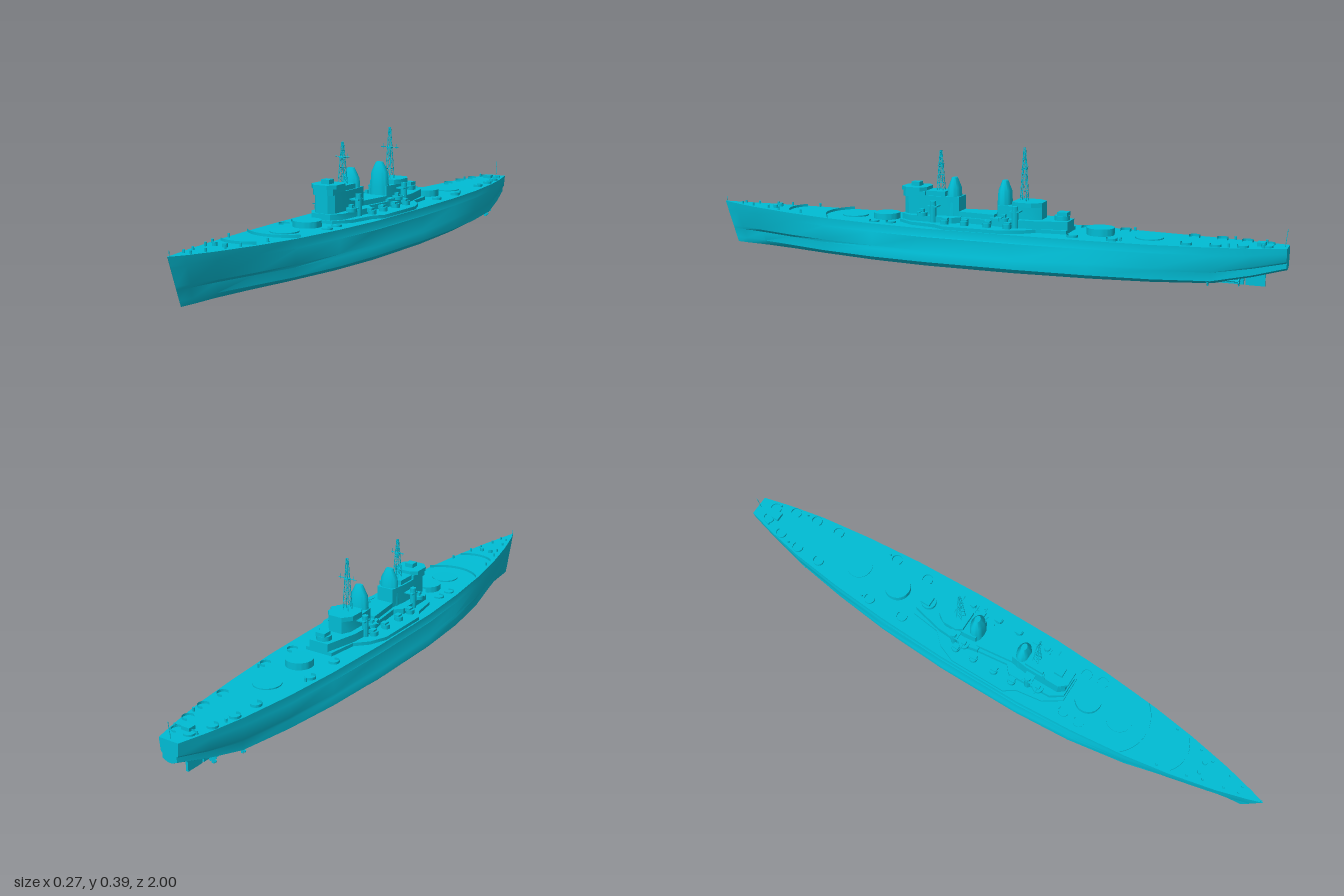
import * as THREE from 'three';
import { toCreasedNormals, mergeGeometries } from 'three/addons/utils/BufferGeometryUtils.js';

const mat = new THREE.MeshStandardMaterial({ color: 0x00bcd4, side: THREE.DoubleSide });

export function createModel() {
  const ship = new THREE.Group();
  ship.name = 'warship';

  const add = (name, geo, x = 0, y = 0, z = 0) => {
    const m = new THREE.Mesh(toCreasedNormals(geo, 0.6), mat);
    m.name = name;
    m.position.set(x, y, z);
    ship.add(m);
    return m;
  };
  const pair = (fn) => [1, -1].forEach(fn);
  const box = (name, w, h, d, x, y, z) => add(name, new THREE.BoxGeometry(w, h, d), x, y + h / 2, z);
  const drum = (name, r, h, x, y, z, n = 24, top = r) =>
    add(name, new THREE.CylinderGeometry(top, r, h, n), x, y + h / 2, z);
  // Vertical prism from the left half of a plan outline, mirrored to the right
  const house = (name, half, y0, y1) => {
    const pts = [...half, ...half.map(([x, z]) => [-x, z]).reverse()];
    const shape = new THREE.Shape(pts.map(([x, z]) => new THREE.Vector2(x, -z)));
    const geo = new THREE.ExtrudeGeometry(shape, { depth: y1 - y0, bevelEnabled: false });
    return add(name, geo.rotateX(-Math.PI / 2), 0, y0, 0);
  };
  // Open curved screen around a centre, facing the angle given
  const screen = (name, r, h, x, y, z, facing, sweep) =>
    add(name, new THREE.CylinderGeometry(r, r, h, 20, 1, true, facing - sweep / 2, sweep), x, y + h / 2, z);
  const rod = (a, b, r) => {
    const p = new THREE.Vector3(...a), q = new THREE.Vector3(...b), d = q.clone().sub(p);
    const turn = new THREE.Quaternion().setFromUnitVectors(new THREE.Vector3(0, 1, 0), d.clone().normalize());
    const mid = p.add(q).multiplyScalar(0.5);
    return new THREE.CylinderGeometry(r, r, d.length(), 5).applyQuaternion(turn).translate(mid.x, mid.y, mid.z);
  };

  // Hull stations: deck z, keel z, deck half width, deck y, bulge half width, flat bottom half width, keel y
  const stations = [
    [1, 0.95, 0.001, 0.149, 0.001, 0.0005, 0.003],
    [0.95, 0.905, 0.017, 0.146, 0.008, 0.004, 0.002],
    [0.85, 0.82, 0.044, 0.142, 0.024, 0.012, 0.002],
    [0.7, 0.69, 0.075, 0.137, 0.055, 0.035, 0.002],
    [0.55, 0.55, 0.098, 0.133, 0.09, 0.065, 0.002],
    [0.35, 0.35, 0.118, 0.13, 0.121, 0.1, 0.002],
    [0.15, 0.15, 0.129, 0.128, 0.134, 0.118, 0.002],
    [-0.15, -0.15, 0.13, 0.128, 0.135, 0.118, 0.002],
    [-0.4, -0.4, 0.121, 0.127, 0.123, 0.1, 0.002],
    [-0.6, -0.6, 0.105, 0.126, 0.101, 0.07, 0.002],
    [-0.78, -0.78, 0.083, 0.127, 0.074, 0.035, 0.006],
    [-0.9, -0.9, 0.06, 0.128, 0.05, 0.015, 0.032],
    [-1, -1, 0.035, 0.13, 0.026, 0.008, 0.06],
  ];
  const pos = [], idx = [];
  let ring = 0;
  for (const [zd, zk, dw, dy, bw, flat, ky] of stations) {
    const mix = (t) => bw + (dw - bw) * t;
    const half = [[flat, 0], [bw, 0.12], [bw, 0.34], [mix(0.6) - bw * 0.015, 0.41], [mix(0.85) + bw * 0.01, 0.78], [mix(0.9), 0.8], [dw, 1]];
    const loop = [[0, 0], ...half, [0, 1], ...half.map(([x, t]) => [-x, t]).reverse()];
    ring = loop.length;
    for (const [x, t] of loop) pos.push(x, ky + (dy - ky) * t, zk + (zd - zk) * t);
  }
  for (let i = 0; i < stations.length - 1; i++)
    for (let j = 0; j < ring; j++) {
      const a = i * ring + j, b = i * ring + (j + 1) % ring, c = b + ring, d = a + ring;
      idx.push(a, d, c, a, c, b);
    }
  const last = (stations.length - 1) * ring;
  for (let j = 1; j < ring - 1; j++) idx.push(last, last + j + 1, last + j);
  const hull = new THREE.BufferGeometry();
  hull.setAttribute('position', new THREE.Float32BufferAttribute(pos, 3));
  hull.setIndex(idx);
  add('hull', hull);

  // Rudder, shafts and propellers
  box('rudder', 0.008, 0.045, 0.06, 0, 0.002, -0.905);
  box('skeg', 0.01, 0.045, 0.1, 0, 0.003, -0.82);
  pair((s) => {
    for (const [x, z] of [[0.03, -0.86], [0.062, -0.77]]) {
      add('propellerShaft', rod([s * x, 0.017, z], [s * x, 0.025, z + 0.18], 0.004));
      add('shaftStrut', rod([s * x, 0.017, z + 0.02], [s * x * 0.8, 0.055, z + 0.02], 0.003));
      for (let k = 0; k < 3; k++) {
        const blade = box('propellerBlade', 0.008, 0.028, 0.003, s * x, 0.003, z);
        blade.rotation.z = (k * Math.PI) / 3;
      }
    }
  });

  // Gun turret barbettes, two raised and two nearly flush
  for (const [z, top] of [[0.35, 0.15], [0.47, 0.136], [-0.41, 0.15], [-0.57, 0.13]])
    drum('barbette', 0.045, top - 0.11, 0, 0.11, z, 36);

  // Breakwaters on the foredeck
  screen('breakwater', 0.13, 0.012, 0, 0.13, 0.44, 0, 1.7);
  screen('breakwater', 0.1, 0.012, 0, 0.134, 0.62, 0, 1.4);

  // Low midships deckhouse
  house('mainDeckhouse', [[0.045, 0.28], [0.085, 0.22], [0.098, 0.13], [0.124, 0.09], [0.124, -0.11], [0.1, -0.17], [0.062, -0.21], [0.05, -0.31]], 0.12, 0.139);
  house('boatDeck', [[0.04, 0.07], [0.055, -0.06]], 0.138, 0.157);
  house('boatDeckTop', [[0.03, 0.07], [0.045, -0.06]], 0.157, 0.174);

  // Forward tower and bridge
  house('towerBase', [[0.035, 0.275], [0.062, 0.235], [0.068, 0.08], [0.045, 0.06]], 0.139, 0.158);
  house('forwardTower', [[0.022, 0.27], [0.038, 0.25], [0.038, 0.13], [0.03, 0.07]], 0.158, 0.222);
  house('bridge', [[0.025, 0.275], [0.038, 0.262], [0.038, 0.19]], 0.216, 0.236);
  house('bridgeRoof', [[0.025, 0.28], [0.047, 0.255], [0.047, 0.205], [0.025, 0.188]], 0.236, 0.249);
  box('bridgeDirector', 0.03, 0.014, 0.03, 0, 0.249, 0.235);
  house('mastPlatform', [[0.032, 0.188], [0.032, 0.12]], 0.222, 0.238);

  // Aft tower and after director
  house('aftBase', [[0.055, -0.05], [0.065, -0.1], [0.06, -0.2], [0.035, -0.31]], 0.139, 0.165);
  house('aftTower', [[0.035, -0.07], [0.04, -0.11], [0.04, -0.19], [0.025, -0.22]], 0.165, 0.205);
  house('aftTowerRoof', [[0.035, -0.12], [0.048, -0.14], [0.048, -0.19], [0.025, -0.22]], 0.205, 0.22);
  drum('afterDirectorBase', 0.025, 0.015, 0, 0.165, -0.28);
  box('afterDirector', 0.034, 0.014, 0.034, 0, 0.178, -0.285);

  // Funnels with tapered caps
  for (const z of [0.097, -0.083]) {
    const profile = [[0, 0.14], [0.036, 0.14], [0.034, 0.2], [0.03, 0.25], [0.013, 0.284], [0, 0.284]];
    const geo = new THREE.LatheGeometry(profile.map(([x, y]) => new THREE.Vector2(x, y)), 24);
    add('funnel', geo.scale(1, 1, 0.72), 0, 0, z);
  }

  // Directors, gun mounts and tubs on each side
  pair((s) => {
    for (const z of [0.15, -0.14]) {
      drum('directorTower', 0.011, 0.058, s * 0.062, 0.139, z, 12);
      drum('directorHead', 0.01, 0.015, s * 0.062, 0.195, z, 12);
      box('directorPlatform', 0.034, 0.004, 0.034, s * 0.054, 0.19, z);
    }
    for (const z of [0.1, 0.03, -0.05, -0.12]) {
      drum('sideMountBase', 0.014, 0.014, s * 0.082, 0.139, z, 12);
      box('sideMount', 0.018, 0.012, 0.022, s * 0.078, 0.147, z);
    }
    for (const z of [0.19, -0.1]) {
      drum('gunTub', 0.018, 0.012, s * 0.06, 0.158, z, 16);
      add('lightGun', rod([s * 0.055, 0.174, z], [s * 0.087, 0.172, z], 0.002));
      box('lightGunMount', 0.014, 0.012, 0.014, s * 0.06, 0.169, z);
    }
    for (const [x, z] of [[0.075, 0.3], [0.08, 0.36], [0.08, -0.34], [0.085, -0.47], [0.062, -0.7], [0.058, -0.79], [0.045, -0.87], [0.022, -0.94]])
      screen('deckTub', 0.018, 0.009, s * x, 0.126, z, s * 1.57, 4.2);
    // Bollards, capstans and vents
    for (const [x, z] of [[0.035, 0.8], [0.022, 0.87], [0.012, 0.92], [0.05, 0.75], [0.07, 0.65], [0.04, -0.93], [0.06, -0.83], [0.09, -0.5]])
      drum('bollard', 0.004, 0.012, s * x, 0.128 + Math.max(0, z) * 0.015, z, 8);
    drum('capstan', 0.008, 0.012, s * 0.018, 0.139, 0.78, 12);
  });
  box('sternHousing', 0.03, 0.014, 0.025, 0, 0.126, -0.92);

  // Lattice masts: four tapering legs, cross braces, yard and aerials
  const mast = (name, z, y0, y1, yardY, yard) => {
    const parts = [], n = 5;
    const at = (k, level) => {
      const t = level / n, w = 0.014 * (1 - t) + 0.003 * t;
      return [w * (k === 0 || k === 3 ? 1 : -1) * 0.8, y0 + (y1 - y0) * t, z + w * (k < 2 ? 1 : -1) * 0.8];
    };
    for (let k = 0; k < 4; k++) {
      parts.push(rod(at(k, 0), at(k, n), 0.0013));
      for (let l = 0; l < n; l++) {
        parts.push(rod(at(k, l), at((k + 1) % 4, l + 1), 0.0007));
        parts.push(rod(at(k, l + 1), at((k + 1) % 4, l + 1), 0.0008));
      }
    }
    parts.push(rod([-yard, yardY, z], [yard, yardY, z], 0.0015));
    pair((s) => parts.push(rod([s * yard * 0.75, yardY - 0.006, z], [s * yard * 0.75, yardY + 0.012, z], 0.0007)));
    add(name, mergeGeometries(parts));
    box('lookout', 0.016, 0.004, 0.016, 0, yardY - 0.004, z);
  };
  mast('foremast', 0.147, 0.236, 0.372, 0.325, 0.026);
  mast('mainmast', -0.15, 0.218, 0.394, 0.327, 0.034);

  // Flagstaffs
  add('jackstaff', rod([0, 0.147, 0.992], [0, 0.165, 0.994], 0.001));
  add('ensignStaff', rod([0, 0.128, -0.99], [0, 0.185, -0.997], 0.001));
  return ship;
}
